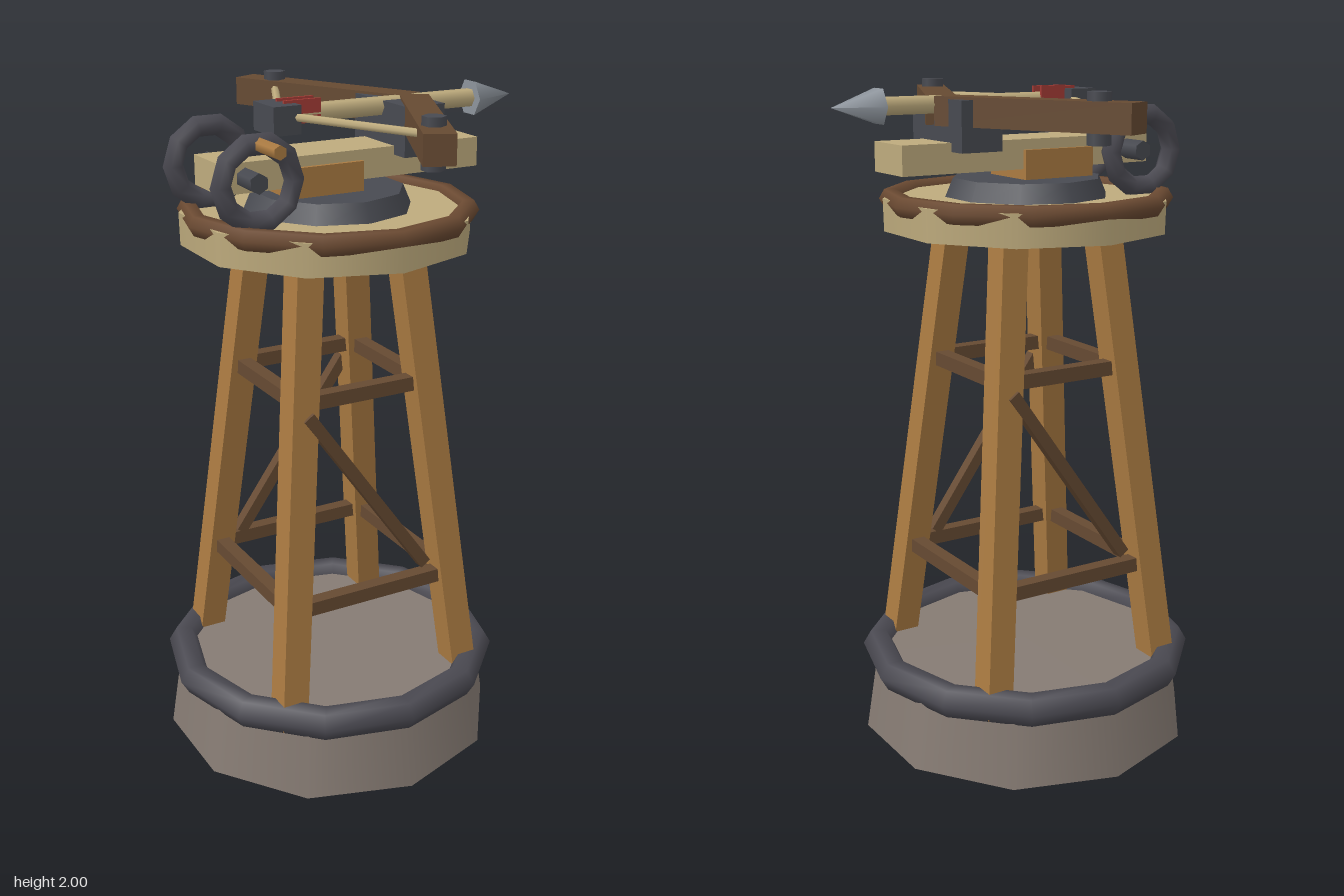
import * as THREE from 'three';

const mat = (color, extra = {}) => new THREE.MeshStandardMaterial({ color, ...extra });
const stone = mat(0x867b73), iron = mat(0x4b4a52), metal = mat(0x484a51), steel = mat(0x8d949c);
const oak = mat(0xab7b42), plank = mat(0xbeab7d), walnut = mat(0x664a32), rim = mat(0x6b4a32), red = mat(0xa53c36);

const CX = -0.05; // axis of the tower

export function createModel() {
  const root = new THREE.Group();
  root.name = 'mountedBallista';

  const add = (name, geometry, material, x = 0, y = 0, z = 0, parent = root) => {
    const mesh = new THREE.Mesh(geometry, material);
    mesh.name = name;
    mesh.position.set(x, y, z);
    parent.add(mesh);
    return mesh;
  };
  // box given by its min and max corners
  const block = (name, material, [x0, y0, z0], [x1, y1, z1], parent = root) =>
    add(name, new THREE.BoxGeometry(x1 - x0, y1 - y0, z1 - z0), material,
      (x0 + x1) / 2, (y0 + y1) / 2, (z0 + z1) / 2, parent);
  // upright drum between two heights
  const drum = (name, material, rTop, rBottom, y0, y1, sides = 10) =>
    add(name, new THREE.CylinderGeometry(rTop, rBottom, y1 - y0, sides), material, CX, (y0 + y1) / 2, 0);
  // flat-lying ring
  const hoop = (name, material, R, r, y) =>
    add(name, new THREE.TorusGeometry(R, r, 6, 12).rotateX(Math.PI / 2), material, CX, y, 0);
  // round bar between two points
  const bar = (name, material, a, b, r, parent = root) => {
    const from = new THREE.Vector3(...a), to = new THREE.Vector3(...b);
    const dir = to.clone().sub(from);
    const mid = from.clone().add(to).multiplyScalar(0.5);
    const mesh = add(name, new THREE.CylinderGeometry(r, r, dir.length(), 6), material, mid.x, mid.y, mid.z, parent);
    mesh.quaternion.setFromUnitVectors(new THREE.Vector3(0, 1, 0), dir.normalize());
    return mesh;
  };

  // Stone base with iron hoop
  drum('stoneBase', stone, 0.482, 0.52, 0, 0.25);
  hoop('baseHoop', iron, 0.474, 0.049, 0.238);

  // Four leaning legs: boxes sheared towards the tower axis
  const legOffset = y => 0.295 - 0.102 * (y - 0.28);
  for (const sx of [-1, 1]) for (const sz of [-1, 1]) {
    const geometry = new THREE.BoxGeometry(0.083, 1.42, 0.083).translate(0, 0.91, 0);
    const p = geometry.attributes.position;
    for (let i = 0; i < p.count; i++) {
      const o = legOffset(p.getY(i));
      p.setXYZ(i, p.getX(i) + sx * o, p.getY(i), p.getZ(i) + sz * o);
    }
    geometry.computeVertexNormals();
    add('leg', geometry, oak, CX);
  }

  // Two levels of rails on all four sides
  for (const y of [0.553, 1.175]) {
    const o = legOffset(y);
    for (const s of [-1, 1]) {
      add('railAlongX', new THREE.BoxGeometry(2 * o, 0.043, 0.043), walnut, CX, y, s * o);
      add('railAlongZ', new THREE.BoxGeometry(0.043, 0.043, 2 * o), walnut, CX + s * o, y, 0);
    }
  }

  // One diagonal brace on the front and one on the back
  for (const s of [-1, 1]) {
    const brace = add('diagonalBrace', new THREE.BoxGeometry(0.036, 0.69, 0.036), walnut, CX, 0.866, s * 0.239);
    brace.rotation.z = s * Math.atan2(0.2, 0.28);
  }

  // Platform, its rim and the turntable
  drum('platform', plank, 0.43, 0.428, 1.585, 1.68);
  hoop('platformRim', rim, 0.405, 0.032, 1.67);
  drum('turntable', metal, 0.222, 0.25, 1.67, 1.735);

  // Weapon body
  block('mountBlock', oak, [-0.22, 1.73, -0.097], [0.014, 1.82, 0.097]);
  block('stock', plank, [-0.425, 1.765, -0.084], [0.405, 1.85, 0.084]);
  block('bowBracket', metal, [0.12, 1.825, -0.142], [0.25, 1.968, 0.142]);
  block('stringBlock', metal, [-0.25, 1.905, -0.063], [-0.165, 1.985, 0.063]);

  // Bow: two arms in a V, each with a bolt and a string
  for (const s of [-1, 1]) {
    const arm = new THREE.Group();
    arm.name = s > 0 ? 'frontBowArm' : 'backBowArm';
    root.add(arm);
    const limb = add('limb', new THREE.BoxGeometry(0.086, 0.082, 0.62), walnut, 0.0975, 1.9345, s * 0.285, arm);
    limb.rotation.y = -s * Math.atan2(0.269, 0.557);
    add('tipBolt', new THREE.CylinderGeometry(0.033, 0.033, 0.14, 6), metal, 0.013, 1.93, s * 0.456, arm);
    bar('bowString', plank, [0.013, 1.951, s * 0.456], [-0.18, 1.951, s * 0.045], 0.012, arm);
  }

  // Bolt lying on the bow
  const missile = new THREE.Group();
  missile.name = 'missile';
  missile.position.y = 1.951;
  root.add(missile);
  add('shaft', new THREE.CylinderGeometry(0.028, 0.028, 0.64, 6).rotateZ(-Math.PI / 2), plank, 0.12, 0, 0, missile);
  add('head', new THREE.ConeGeometry(0.056, 0.145, 6).rotateZ(-Math.PI / 2), steel, 0.502, 0, 0, missile);
  for (const s of [-1, 1])
    add('fletching', new THREE.BoxGeometry(0.115, 0.066, 0.009), red, -0.142, 0.009, s * 0.022, missile);

  // Winch: axle, two wheels and a crank handle
  const winch = new THREE.Group();
  winch.name = 'winch';
  winch.position.set(-0.349, 1.807, 0);
  root.add(winch);
  add('axle', new THREE.CylinderGeometry(0.029, 0.029, 0.34, 6).rotateX(Math.PI / 2), metal, 0, 0, 0, winch);
  for (const s of [-1, 1])
    add('winchWheel', new THREE.TorusGeometry(0.109, 0.031, 6, 10), iron, 0, 0, s * 0.16, winch);
  add('crankHandle', new THREE.CylinderGeometry(0.02, 0.02, 0.14, 6).rotateX(Math.PI / 2), oak, 0, 0.105, 0.228, winch);

  return root;
}
